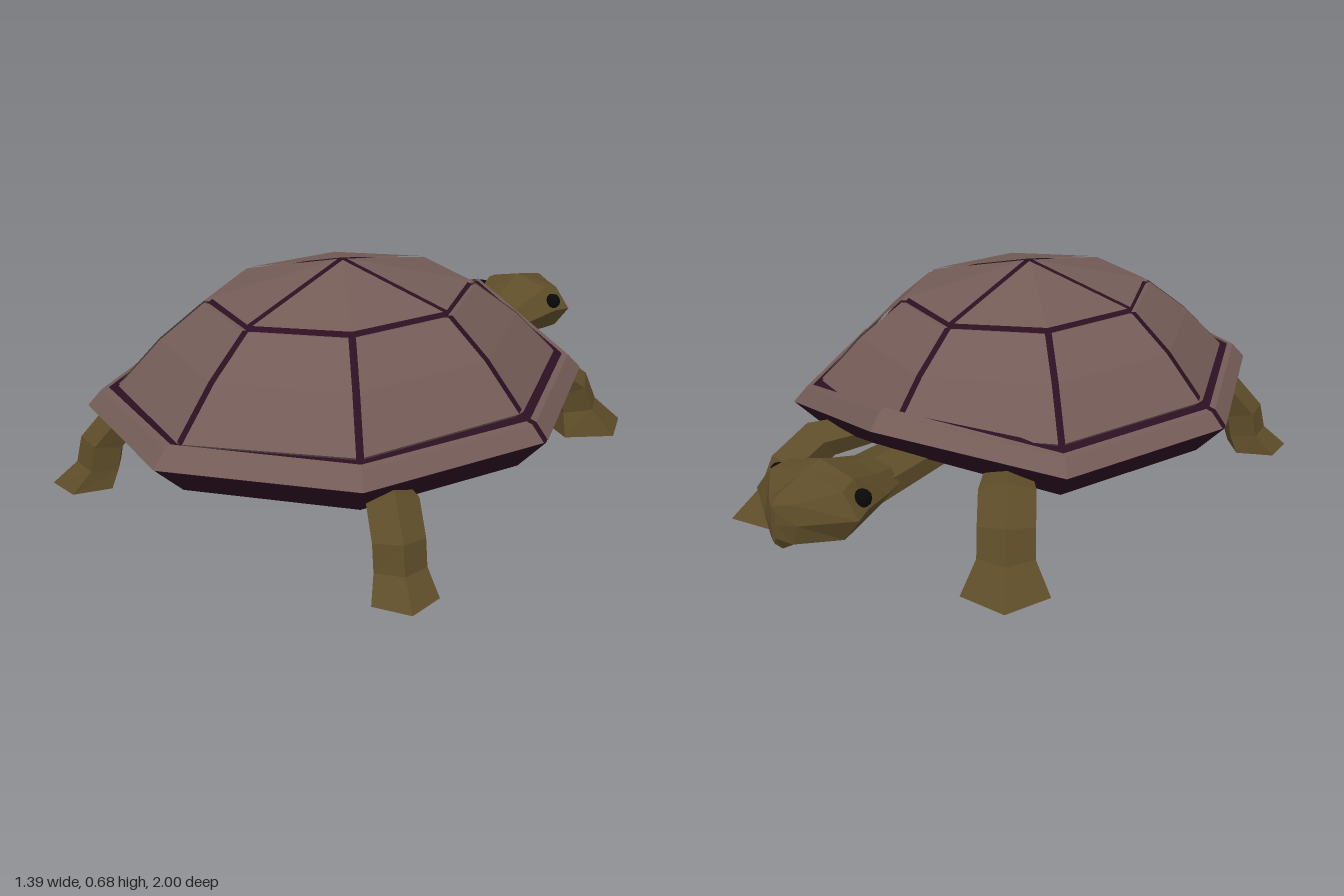
import * as THREE from 'three';

const material = (color) => new THREE.MeshStandardMaterial({ color, flatShading: true, side: THREE.DoubleSide });

// Mesh from a list of quads and triangles, each an array of Vector3
function facesMesh(name, faces, mat) {
  const points = [];
  for (const f of faces) {
    for (let i = 1; i < f.length - 1; i++) points.push(f[0], f[i], f[i + 1]);
  }
  const geometry = new THREE.BufferGeometry().setFromPoints(points);
  geometry.computeVertexNormals();
  const mesh = new THREE.Mesh(geometry, mat);
  mesh.name = name;
  return mesh;
}

// Corner k of the oval octagon, k = 0 at the tail and k = 4 over the neck
const LIFT = [0.025, 0.01, 0, 0, 0.105, 0, 0, 0.01];
function corner(k, [s, y, lift = 0]) {
  const a = (k * Math.PI) / 4;
  return new THREE.Vector3(0.7 * s * Math.sin(a), y + lift * LIFT[(k + 8) % 8], 0.2 + 0.8 * s * Math.cos(a));
}

// Faces of side k between rings, cut back from the corners by gap0 and gap1
function sideStrip(k, rings, gap0 = 0, gap1 = 0) {
  const edges = rings.map((r) => {
    const a = corner(k, r), b = corner(k + 1, r), len = a.distanceTo(b) || 1;
    return [a.clone().lerp(b, gap0 / len), b.clone().lerp(a, gap1 / len)];
  });
  const faces = [];
  for (let i = 0; i < edges.length - 1; i++) {
    faces.push([edges[i][0], edges[i][1], edges[i + 1][1], edges[i + 1][0]]);
  }
  return faces;
}

// Faceted limb along a horizontal heading; sections are [distance, y, pitch in degrees, half width, half height]
function limb(name, origin, heading, sections, sides, mat) {
  const h = new THREE.Vector3(heading[0], 0, heading[1]).normalize();
  const side = new THREE.Vector3(h.z, 0, -h.x);
  const rings = sections.map(([d, y, pitch, w, ht]) => {
    const p = THREE.MathUtils.degToRad(pitch);
    const up = h.clone().multiplyScalar(-Math.sin(p)).add(new THREE.Vector3(0, Math.cos(p), 0));
    const centre = new THREE.Vector3(origin[0], y, origin[1]).addScaledVector(h, d);
    return Array.from({ length: sides }, (_, j) => {
      const a = Math.PI / 2 + (j * 2 * Math.PI) / sides;
      return centre.clone().addScaledVector(side, w * Math.cos(a)).addScaledVector(up, ht * Math.sin(a));
    });
  });
  const faces = [[...rings[0]].reverse(), rings[rings.length - 1]];
  for (let i = 0; i < rings.length - 1; i++) {
    for (let j = 0; j < sides; j++) {
      const n = (j + 1) % sides;
      faces.push([rings[i][j], rings[i][n], rings[i + 1][n], rings[i + 1][j]]);
    }
  }
  return facesMesh(name, faces, mat);
}

export function createModel() {
  const model = new THREE.Group();
  const plate = material(0x745c57);
  const dark = material(0x2c1022);
  const skin = material(0x5e4d29);
  const black = material(0x080808);

  // Dark shell body, seen as the under-rim and the seams
  const bottom = [0.87, 0.19, 1];
  const bodyRings = [bottom, [0.995, 0.282, 1], [0.94, 0.322, 1], [0.915, 0.328, 1], [0.86, 0.338], [0.71, 0.468], [0.53, 0.578], [0, 0.674]];
  const body = [], rim = [];
  for (let k = 0; k < 8; k++) {
    body.push(...sideStrip(k, bodyRings));
    // Rim band, parted at the left and right corners
    const gap0 = k % 4 === 2 ? 0.012 : 0, gap1 = k % 4 === 1 ? 0.012 : 0;
    rim.push(...sideStrip(k, [[1, 0.285, 1], [0.945, 0.33, 1], [0.918, 0.335, 1]], gap0, gap1));
    // Side plates
    const plateRings = [[0.865, 0.338], [0.885, 0.35], [0.72, 0.48], [0.545, 0.583], [0.525, 0.58]];
    model.add(facesMesh('sidePlate', sideStrip(k, plateRings, 0.011, 0.011), plate));
  }
  model.add(facesMesh('shellBody', body, dark), facesMesh('shellRim', rim, plate));

  // Four crown plates
  for (let k = 0; k < 8; k += 2) {
    const mid = corner(k + 1, [1, 0]);
    const sx = Math.sign(mid.x), sz = Math.sign(mid.z - 0.2);
    const trim = (p) => p.set(sx * Math.max(sx * p.x, 0.009), p.y, 0.2 + sz * Math.max(sz * (p.z - 0.2), 0.009));
    const top = [0, 1, 2].map((i) => trim(corner(k + i, [0.515, 0.595])));
    const apex = trim(new THREE.Vector3(0, 0.685, 0.2));
    model.add(facesMesh('crownPlate', [[apex, top[0], top[1]], [apex, top[1], top[2]]], plate));
  }

  // Belly, with the front sloping up to the neck opening
  const belly = [5, 6, 7, 0, 1, 2, 3].map((k) => corner(k, bottom));
  const navel = new THREE.Vector3(0, 0.18, 0.2);
  const bellyFaces = belly.map((p, i) => [navel, belly[(i + 1) % 7], p]);
  bellyFaces.push([belly[0], belly[6], corner(4, bottom)]);
  model.add(facesMesh('belly', bellyFaces, plate));

  // Legs
  const frontLeg = [
    [-0.04, 0.235, 0, 0.06, 0.045], [0.15, 0.225, -35, 0.085, 0.065], [0.23, 0.165, -70, 0.085, 0.075],
    [0.26, 0.09, -85, 0.085, 0.08], [0.3, 0.008, -90, 0.13, 0.135],
  ];
  const backLeg = [
    [-0.06, 0.22, 0, 0.05, 0.04], [0.12, 0.215, -38, 0.075, 0.06], [0.18, 0.145, -80, 0.075, 0.068],
    [0.195, 0.07, -85, 0.075, 0.07], [0.24, 0.008, -90, 0.095, 0.1],
  ];
  for (const s of [1, -1]) {
    const label = s > 0 ? 'left' : 'right';
    model.add(limb(label + 'HeadEndLeg', [s * 0.26, -0.3], [s * 0.535, -0.845], frontLeg, 5, skin));
    model.add(limb(label + 'TailEndLeg', [s * 0.4, 0.56], [s * 0.76, 0.65], backLeg, 5, skin));

    // Eyes
    const eye = new THREE.Mesh(new THREE.IcosahedronGeometry(0.026, 1), black);
    eye.name = label + 'Eye';
    eye.position.set(s * 0.145, 0.315, -0.815);
    model.add(eye);
  }

  // Neck and head
  model.add(limb('neck', [0, 0], [0, -1], [[0.15, 0.25, 0, 0.09, 0.045], [0.68, 0.255, 0, 0.11, 0.055]], 6, skin));
  model.add(limb('head', [0, 0], [0, -1], [
    [0.6, 0.26, 0, 0.1, 0.055], [0.68, 0.268, 0, 0.125, 0.07], [0.81, 0.285, 0, 0.16, 0.105],
    [0.87, 0.28, 0, 0.178, 0.098], [0.97, 0.272, 0, 0.055, 0.08], [1, 0.275, 0, 0.008, 0.055],
  ], 8, skin));
  return model;
}
